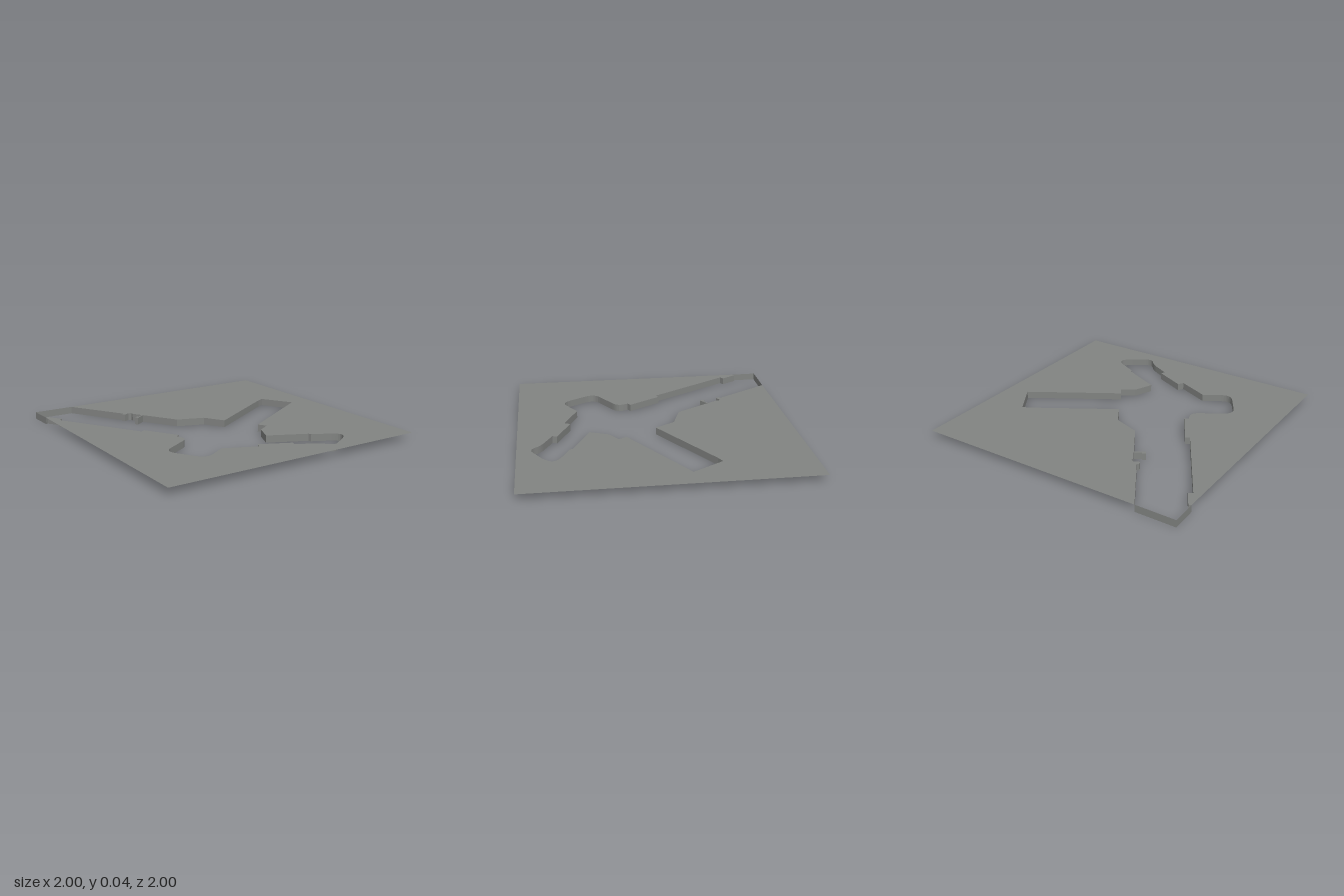
import * as THREE from 'three';

const TOP = 0.038;

// Cut-out outline as [x, z, corner radius]
const outline = [
  [-0.88, 0.315], [-0.88, 0.3], [-0.785, 0.3], [-0.785, 0.325], [-0.27, 0.325], [-0.27, 0.3],
  [-0.065, 0.3], [-0.065, 0.326], [0, 0.328, 0.055],
  [0, 0.57, 0.06], [0.225, 0.57, 0.06], [0.225, 0.41],
  [0.375, 0.305], [0.358, 0.275], [0.505, 0.177], [0.52, 0.197],
  [0.63, 0.13, 0.03], [0.705, 0.122, 0.04], [0.705, -0.01, 0.02], [0.688, -0.078, 0.04],
  [0.63, -0.057, 0.015], [0.54, 0], [0.525, -0.003], [0.34, 0.12], [0.275, 0.03], [0.275, -0.05],
  [0.225, -0.05], [0.225, -0.577], [0.035, -0.577], [0.03, -0.535], [0.03, -0.05],
  [-0.095, -0.05], [-0.21, 0.045], [-0.424, 0.045], [-0.42, 0.105], [-0.44, 0.105],
  [-0.44, 0.085], [-0.43, 0.085], [-0.43, 0.045], [-0.49, 0.045], [-0.503, 0.036],
  [-0.518, 0.045], [-0.52, 0.077], [-0.54, 0.077], [-0.54, 0.063], [-0.888, 0.063],
];

// Replaces corners that have a radius with a short curve
function roundCorners(list) {
  const pts = list.map(([x, z]) => new THREE.Vector2(x, z));
  return list.flatMap(([, , r], i) => {
    const p = pts[i];
    if (!r) return [p];
    const toward = (q) => p.clone().add(q.clone().sub(p).setLength(r));
    return new THREE.QuadraticBezierCurve(toward(pts[i - 1]), p, toward(pts[i + 1])).getPoints(6);
  });
}

// Flat horizontal face bounded by points in x and z
function sheetGeometry(points) {
  const shape = new THREE.Shape(points.map((p) => new THREE.Vector2(p.x, -p.y)));
  return new THREE.ShapeGeometry(shape).rotateX(-Math.PI / 2).translate(0, TOP, 0);
}

// Vertical strip hanging under a closed outline
function wallGeometry(loop) {
  const pos = [];
  loop.forEach((a, i) => {
    const b = loop[(i + 1) % loop.length];
    pos.push(a.x, 0, a.y, b.x, TOP, b.y, b.x, 0, b.y);
    pos.push(a.x, 0, a.y, a.x, TOP, a.y, b.x, TOP, b.y);
  });
  const geo = new THREE.BufferGeometry();
  geo.setAttribute('position', new THREE.Float32BufferAttribute(pos, 3));
  geo.computeVertexNormals();
  return geo;
}

export function createModel() {
  const group = new THREE.Group();
  group.name = 'cutoutPlate';
  const material = new THREE.MeshStandardMaterial({ color: 0x828482, side: THREE.DoubleSide });
  const add = (name, geometry) => {
    const mesh = new THREE.Mesh(geometry, material);
    mesh.name = name;
    group.add(mesh);
  };

  const edge = roundCorners(outline);
  const back = new THREE.Vector2(-0.25, -1);
  const side = new THREE.Vector2(1, -0.25);
  const front = new THREE.Vector2(0.25, 1);

  // Tilted square sheet in two halves, split from the cut-out's +x end to the side corner
  const tip = edge.reduce((best, p, i) => (p.x > edge[best].x ? i : best), 0);
  add('backSheet', sheetGeometry([back, side, ...edge.slice(tip)]));
  add('frontSheet', sheetGeometry([side, front, ...edge.slice(0, tip + 1)]));

  // Rim around the cut-out, closed across the sheet's missing corner
  add('cutoutRim', wallGeometry([...edge, new THREE.Vector2(-1, 0.247)]));
  return group;
}
